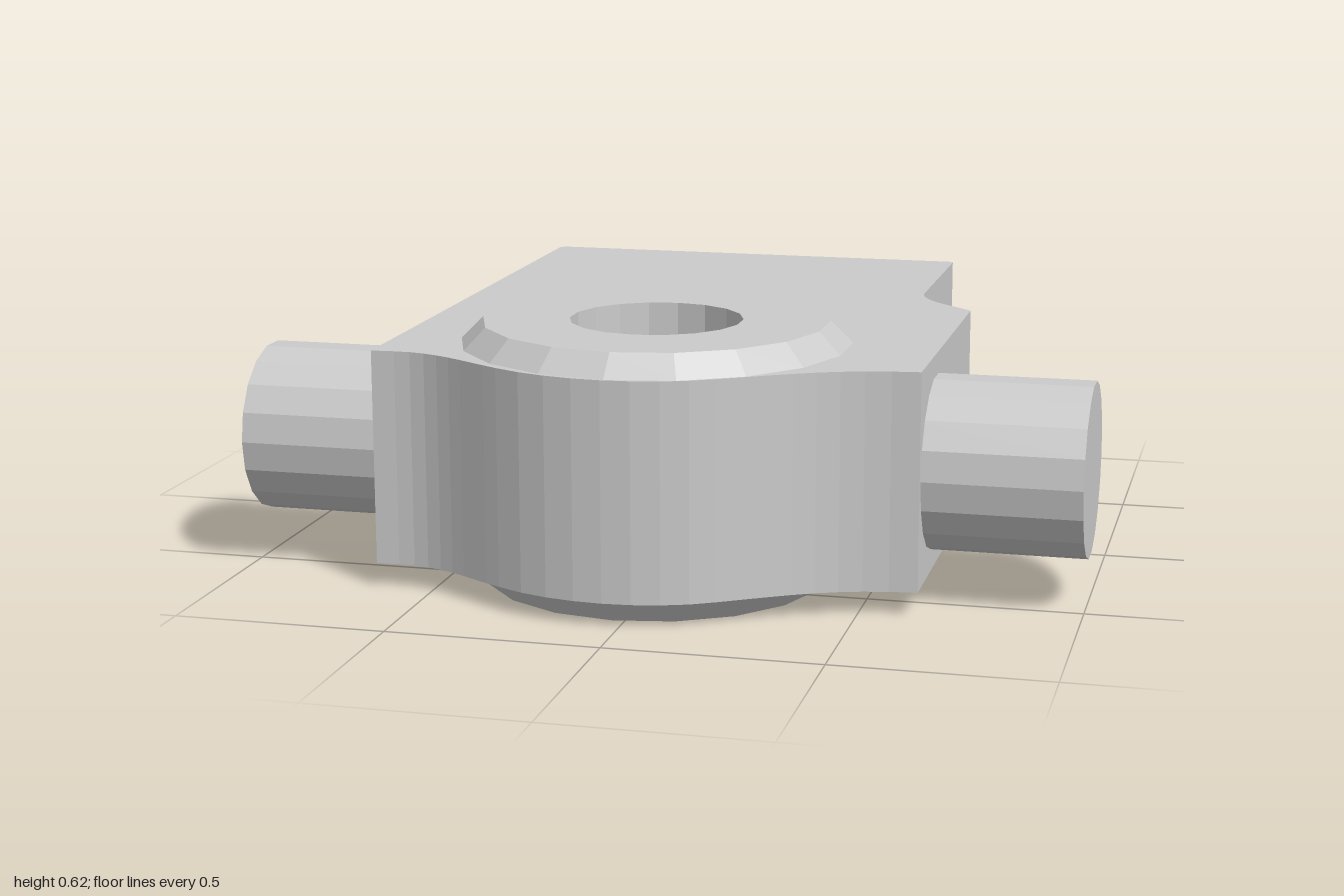
import * as THREE from 'three';

const HOLE = { x: -0.03, z: 0.39, r: 0.205 };
const BASE = 0.055, TOP = 0.565, HEIGHT = 0.617, SIDES = 18;

export function createModel() {
  const group = new THREE.Group();
  const material = new THREE.MeshStandardMaterial({ color: 0xcccccc, flatShading: true });
  const add = (name, geometry) => {
    const mesh = new THREE.Mesh(geometry, material);
    mesh.name = name;
    group.add(mesh);
    return mesh;
  };

  // Plan outline of the block, drawn as (x, -z)
  const s = new THREE.Shape();
  s.moveTo(-0.64, 0.855);
  s.lineTo(-0.64, -0.665);
  s.lineTo(-0.585, -0.662);
  s.bezierCurveTo(-0.48, -0.655, -0.40, -0.73, -0.30, -0.785);
  s.bezierCurveTo(-0.14, -0.88, 0.07, -0.88, 0.21, -0.785);
  s.bezierCurveTo(0.36, -0.69, 0.45, -0.62, 0.635, -0.607);
  s.lineTo(0.635, 0.155);
  s.lineTo(0.55, 0.235);
  s.quadraticCurveTo(0.485, 0.30, 0.485, 0.37);
  s.lineTo(0.485, 0.855);
  s.lineTo(0.473, 0.867);
  s.lineTo(-0.628, 0.867);
  s.closePath();
  // Opening hidden beneath the collar
  const opening = new THREE.Path();
  opening.absarc(HOLE.x, -HOLE.z, 0.3, 0, Math.PI * 2, true);
  s.holes.push(opening);

  const block = new THREE.ExtrudeGeometry(s, { depth: TOP - BASE, bevelEnabled: false, curveSegments: 8 });
  block.rotateX(-Math.PI / 2).translate(0, BASE, 0);
  add('block', block);

  // Chamfered collars above and below, joined by the bore wall
  const profile = [
    [0.462, TOP], [0.41, HEIGHT], [HOLE.r, HEIGHT],
    [HOLE.r, 0], [0.41, 0], [0.462, BASE],
  ].map(([r, y]) => new THREE.Vector2(r, y));
  add('boredCollar', new THREE.LatheGeometry(profile, SIDES)).position.set(HOLE.x, 0, HOLE.z);

  // Side pins
  for (const side of [-1, 1]) {
    const pin = new THREE.CylinderGeometry(0.205, 0.205, 0.4, SIDES);
    pin.rotateZ(Math.PI / 2);
    add(side > 0 ? 'leftPin' : 'rightPin', pin).position.set(side * 0.8, 0.31, 0.39);
  }
  return group;
}
